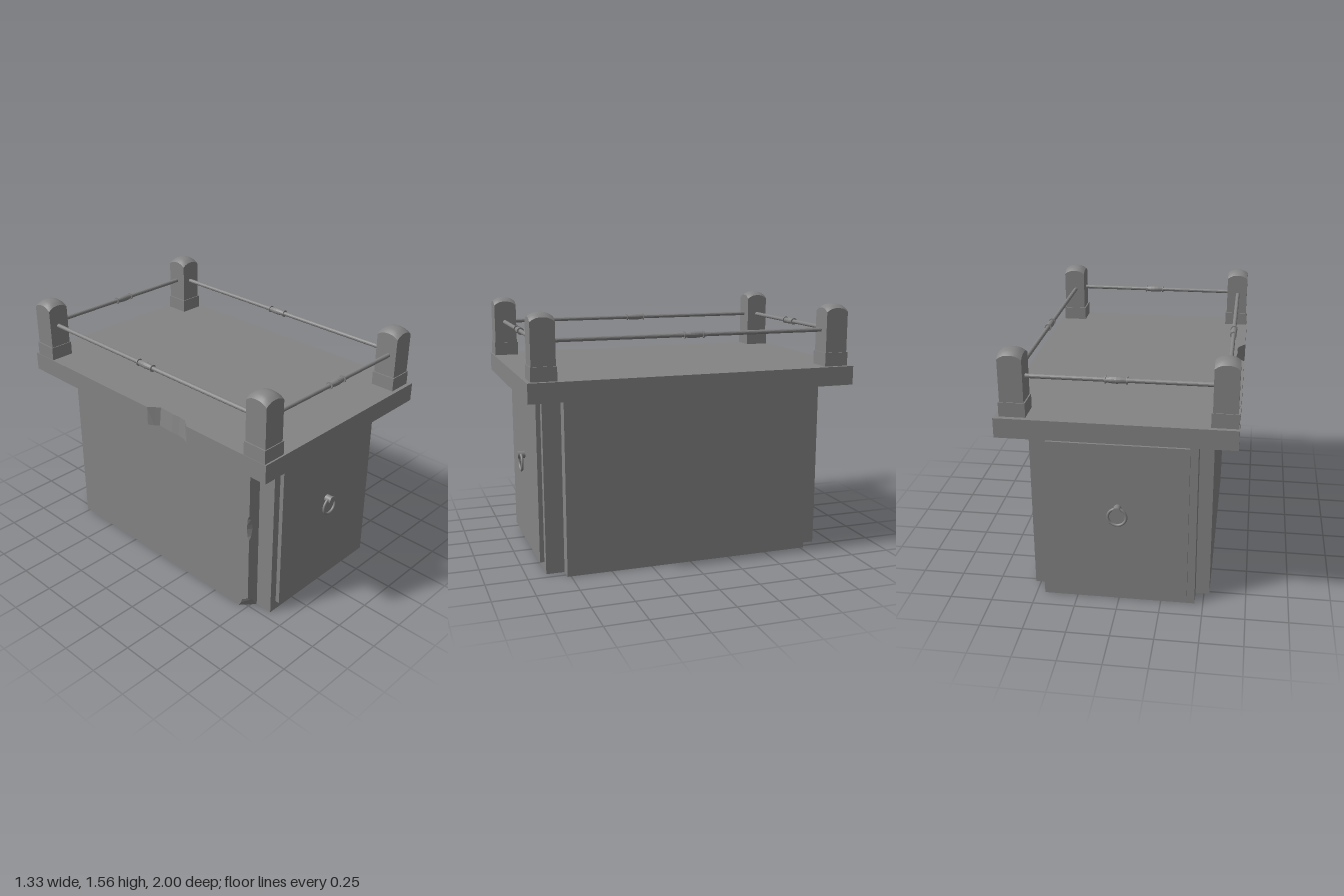
import * as THREE from 'three';

const material = new THREE.MeshStandardMaterial({ color: 0x848484 });
const sheet = new THREE.MeshStandardMaterial({ color: 0x848484, side: THREE.DoubleSide });

function add(parent, name, geometry, x = 0, y = 0, z = 0, mat = material) {
  const mesh = new THREE.Mesh(geometry, mat);
  mesh.name = name;
  mesh.position.set(x, y, z);
  parent.add(mesh);
  return mesh;
}

// Hollow cabinet: notched outline lofted upwards, one corner chipped by a varying amount
function cabinetGeometry() {
  const X = 0.532, Z = 0.882, nx = 0.45, nz = 0.772;
  // [height, chip width on the notch face, chip width on the side face]
  const levels = [
    [0, 0.078, 0.07], [0.03, 0.062, 0.055], [0.06, 0.04, 0.045], [0.09, 0, 0],
    [0.515, 0, 0], [0.54, 0.018, 0.012], [0.59, 0.028, 0.018], [0.62, 0.025, 0.016],
    [0.66, 0.016, 0.014], [0.69, 0, 0], [1.08, 0, 0],
  ];
  const outline = (a, b) => [
    [-nx, Z], [nx, Z], [nx, nz], [X, nz], [X, -nz], [nx, -nz], [nx, -Z],
    [-nx, -Z], [-nx, -nz], [-X, -nz], [-X, nz - b], [-X + a, nz], [-nx, nz],
  ];
  const rings = levels.map(([y, a, b]) => outline(a, b).map(([x, z]) => [x, y, z]));
  const pos = [];
  for (let k = 0; k + 1 < rings.length; k++) {
    const lo = rings[k], hi = rings[k + 1], n = lo.length;
    for (let i = 0; i < n; i++) {
      const j = (i + 1) % n;
      pos.push(...lo[i], ...lo[j], ...hi[j], ...lo[i], ...hi[j], ...hi[i]);
    }
  }
  const g = new THREE.BufferGeometry();
  g.setAttribute('position', new THREE.Float32BufferAttribute(pos, 3));
  g.computeVertexNormals();
  return g;
}

// Overhanging slab with a bite out of its -x edge
function slabGeometry() {
  const W = 0.667;
  const chip = [[-W, 0.08], [-0.635, 0.115], [-0.614, 0.14], [-0.618, 0.2],
    [-0.622, 0.25], [-0.617, 0.3], [-0.625, 0.35], [-0.65, 0.385], [-W, 0.41]];
  const outline = [[-W, 1], [W, 1], [W, -1], [-W, -1], ...chip];
  const shape = new THREE.Shape(outline.map(([x, z]) => new THREE.Vector2(x, -z)));
  const g = new THREE.ExtrudeGeometry(shape, { depth: 0.115, bevelEnabled: false });
  g.rotateX(-Math.PI / 2);
  // The bite slopes outwards towards the underside
  const p = g.attributes.position;
  for (let i = 0; i < p.count; i++) {
    if (p.getY(i) < 0.01 && p.getX(i) > -0.64 && p.getX(i) < -0.6) p.setX(i, p.getX(i) - 0.012);
  }
  g.computeVertexNormals();
  return g;
}

// Square post with a softly domed top
function postGeometry() {
  const w = 0.135, h = 0.375, d = 0.14;
  const g = new THREE.BoxGeometry(w, h, d, 8, 1, 8);
  g.translate(0, h / 2, 0);
  const p = g.attributes.position;
  for (let i = 0; i < p.count; i++) {
    const u = Math.abs(p.getX(i)) * 2 / w, v = Math.abs(p.getZ(i)) * 2 / d;
    if (p.getY(i) > 0.1) p.setY(i, h - 0.024 * (u ** 2.5 + v ** 2.5));
  }
  g.computeVertexNormals();
  return g;
}

// Round bar along y with a turned collar in the middle
function railGeometry(length) {
  const half = [[0.013, length / 2], [0.013, 0.062], [0.022, 0.062], [0.022, 0.055],
    [0.015, 0.055], [0.019, 0.025], [0.0205, 0]];
  const profile = [
    ...half.map(([r, y]) => [r, -y]),
    ...half.slice(0, -1).reverse(),
  ].map(([r, y]) => new THREE.Vector2(r, y));
  const g = new THREE.LatheGeometry(profile, 16).toNonIndexed();
  g.computeVertexNormals();
  return g;
}

// Raised panel with a knob and hanging ring, facing +z
function createDoor(name) {
  const door = new THREE.Group();
  door.name = name;
  add(door, 'doorPanel', new THREE.BoxGeometry(0.81, 0.96, 0.026), 0, 0.54, 0.896);
  const knob = new THREE.CylinderGeometry(0.0235, 0.0225, 0.048, 20);
  knob.rotateX(Math.PI / 2);
  add(door, 'knob', knob, 0, 0.627, 0.93);
  add(door, 'ringPull', new THREE.TorusGeometry(0.053, 0.008, 10, 32), 0, 0.582, 0.934);
  return door;
}

export function createModel() {
  const model = new THREE.Group();
  model.name = 'cabinet';

  add(model, 'cabinetBody', cabinetGeometry(), 0, 0, 0, sheet);
  add(model, 'topSlab', slabGeometry(), 0, 1.07, 0);

  const back = createDoor('backDoor');
  back.rotation.y = Math.PI;
  model.add(createDoor('frontDoor'), back);

  // Corner posts, set slightly unevenly
  const posts = [[-0.59, 0.915], [0.565, 0.902], [-0.59, -0.9], [0.565, -0.897]];
  for (const [x, z] of posts) {
    const post = new THREE.Group();
    post.name = 'cornerPost';
    post.position.set(x, 1.185, z);
    add(post, 'postShaft', postGeometry());
    add(post, 'postBase', new THREE.BoxGeometry(0.149, 0.083, 0.15), 0, 0.0415, 0);
    model.add(post);
  }

  // Rails between the posts
  for (const [name, z] of [['frontRail', 0.92], ['backRail', -0.9]]) {
    add(model, name, railGeometry(1.06), 0, 1.402, z).rotation.z = Math.PI / 2;
  }
  for (const [name, x] of [['rightRail', -0.595], ['leftRail', 0.56]]) {
    add(model, name, railGeometry(1.7), x, 1.402, 0).rotation.x = Math.PI / 2;
  }
  return model;
}
